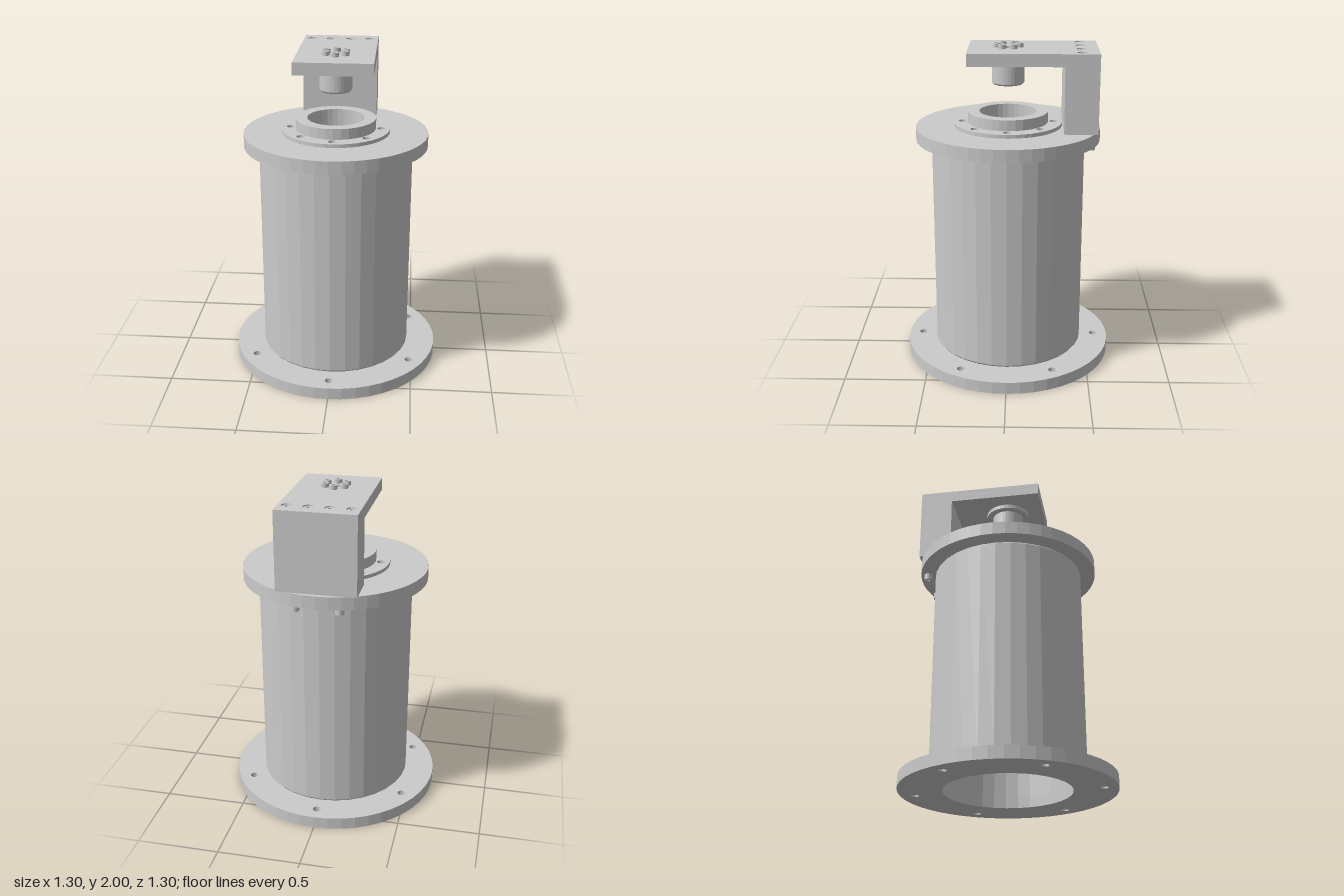
import * as THREE from 'three';

const material = new THREE.MeshStandardMaterial({ color: 0xcccccc, flatShading: true });

// Polygonal circle outline; plan coordinates are (x, z)
function circle(r, n, cx = 0, cz = 0) {
  return Array.from({ length: n }, (_, i) => {
    const a = (i / n) * Math.PI * 2;
    return new THREE.Vector2(cx + r * Math.cos(a), -cz + r * Math.sin(a));
  });
}

// Upright slab from an outline and hole outlines, between two heights
function slab(name, outline, holes, y0, y1) {
  const shape = new THREE.Shape(outline);
  shape.holes = holes.map((h) => new THREE.Path(h));
  const geo = new THREE.ExtrudeGeometry(shape, { depth: y1 - y0, bevelEnabled: false });
  geo.rotateX(-Math.PI / 2).translate(0, y0, 0);
  const mesh = new THREE.Mesh(geo, material);
  mesh.name = name;
  return mesh;
}

function lathe(name, pts, n) {
  const geo = new THREE.LatheGeometry(pts.map(([x, y]) => new THREE.Vector2(x, y)), n);
  const mesh = new THREE.Mesh(geo, material);
  mesh.name = name;
  return mesh;
}

// Evenly spaced [x, z] positions on a bolt circle
function boltCircle(r, n, start = 0) {
  return Array.from({ length: n }, (_, i) => {
    const a = start + (i / n) * Math.PI * 2;
    return [r * Math.cos(a), r * Math.sin(a)];
  });
}

// Cap screw head with a hexagonal socket, base at y = 0
function screw(name, r, h) {
  const g = new THREE.Group();
  g.name = name;
  g.add(slab('screwHead', circle(r, 16), [circle(r * 0.5, 6)], 0, h));
  g.add(slab('socketFloor', circle(r * 0.55, 6), [], 0.001, h * 0.45));
  return g;
}

export function createModel() {
  const model = new THREE.Group();
  const holesAt = (spots, r) => spots.map(([x, z]) => circle(r, 16, x, z));

  // Base flange with six bolt holes
  model.add(slab('baseFlange', circle(0.65, 48),
    [circle(0.385, 32), ...holesAt(boltCircle(0.562, 6, Math.PI / 2), 0.025)], 0, 0.075));

  // Hollow body with small chamfers at both ends
  model.add(lathe('bodyTube', [
    [0.385, 0.075], [0.46, 0.075], [0.47, 0.087], [0.47, 1.41], [0.46, 1.42],
    [0.385, 1.42], [0.385, 0.075],
  ], 32));

  // Top flange, bearing ring and raised collar
  const ringSpots = boltCircle(0.277, 8);
  model.add(slab('topFlange', circle(0.563, 48),
    [circle(0.175, 32), ...holesAt(ringSpots, 0.015)], 1.42, 1.5));
  model.add(slab('bearingRing', circle(0.33, 40),
    [circle(0.175, 32), ...holesAt(ringSpots, 0.025)], 1.5, 1.522));
  model.add(slab('collar', circle(0.245, 32), [circle(0.175, 32)], 1.522, 1.587));

  // Bracket: column at the back and overhanging arm with counterbores
  const bracket = new THREE.Group();
  bracket.name = 'bracket';
  const rect = (x, z0, z1) => [
    new THREE.Vector2(-x, -z1), new THREE.Vector2(x, -z1),
    new THREE.Vector2(x, -z0), new THREE.Vector2(-x, -z0),
  ];
  const armScrews = [-0.183, -0.061, 0.061, 0.183].map((x) => [x, -0.435]);
  const bore = circle(0.033, 20);
  bracket.add(slab('column', rect(0.235, -0.537, -0.335), [], 1.5, 1.9));
  bracket.add(slab('armLower', rect(0.235, -0.537, 0.237), [bore], 1.9, 1.93));
  bracket.add(slab('armUpper', rect(0.235, -0.537, 0.237),
    [bore, ...holesAt(armScrews, 0.031)], 1.93, 1.975));
  model.add(bracket);

  // Flanged hub hanging under the arm
  model.add(lathe('hub', [
    [0, 1.755], [0.088, 1.755], [0.098, 1.765], [0.098, 1.875],
    [0.138, 1.875], [0.138, 1.9], [0, 1.9],
  ], 32));

  // Screws: sunk in the arm, standing over the hub, and under the top flange
  const place = (name, spots, y, r, h, flip) => spots.forEach(([x, z]) => {
    const s = screw(name, r, h);
    s.position.set(x, y, z);
    if (flip) s.rotation.x = Math.PI;
    model.add(s);
  });
  place('armScrew', armScrews, 1.93, 0.026, 0.04);
  place('hubScrew', boltCircle(0.067, 6, Math.PI / 2), 1.975, 0.024, 0.025);
  place('columnScrew', [[-0.13, -0.5], [0.13, -0.5]], 1.42, 0.026, 0.04, true);

  return model;
}
